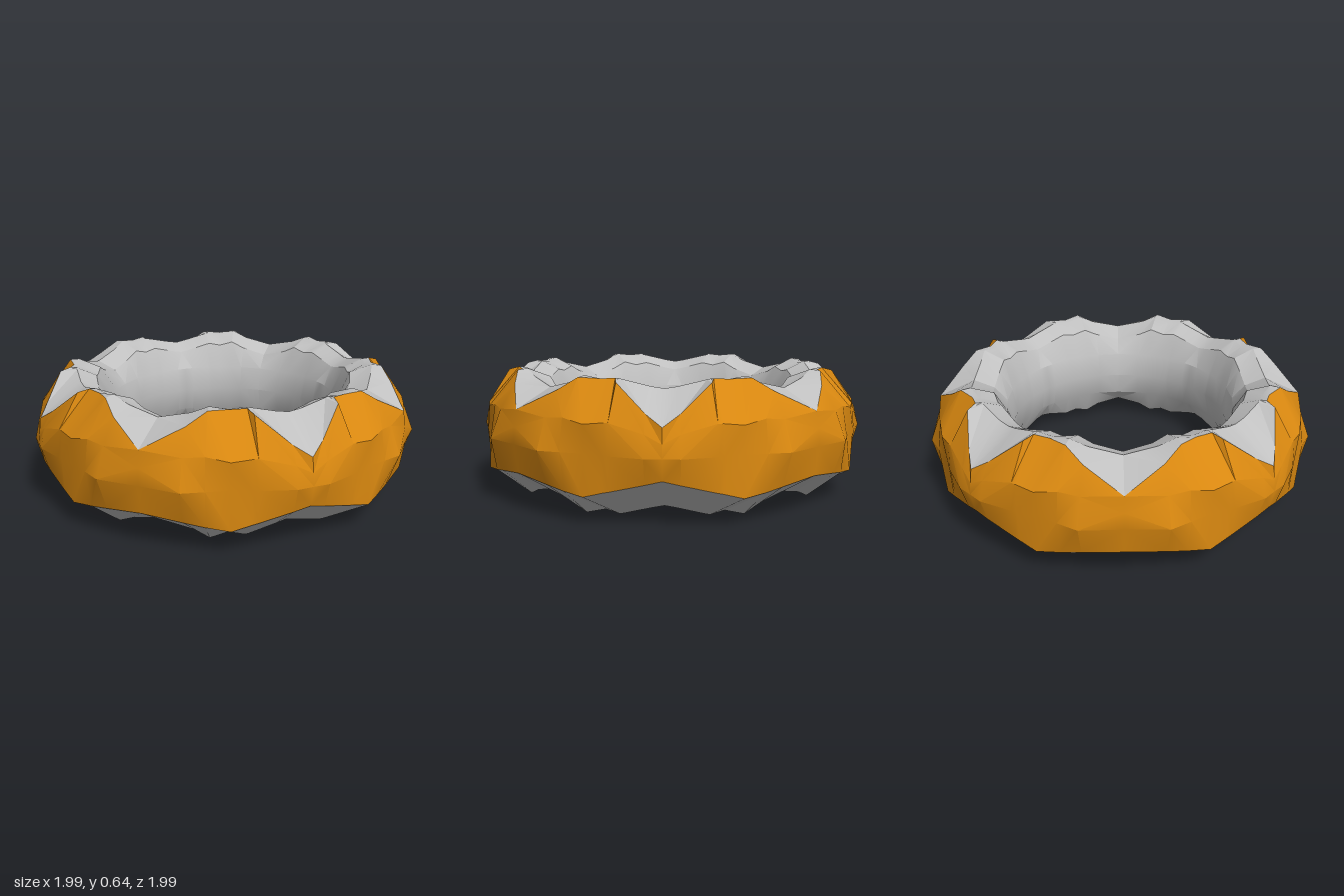
import * as THREE from 'three';
import { toCreasedNormals } from 'three/addons/utils/BufferGeometryUtils.js';

const HEIGHT = 0.64;

// Sections over an eighth turn: angle, then [radius, y] for the lower paint edge,
// waist, shoulder, upper paint edge and crest
const EIGHTH = [
  [0, [0.97, 0.18], [0.99, 0.32], [0.983, 0.40], [0.97, 0.48], [0.78, 0.57]],
  [11.5, [0.958, 0.155], [1.015, 0.32], [0.96, 0.46], [0.885, 0.575], [0.78, 0.605]],
  [17.5, [0.962, 0.14], [0.985, 0.32], [0.96, 0.47], [0.84, 0.635], [0.79, 0.64]],
  [24, [0.98, 0.13], [0.965, 0.32], [0.972, 0.45], [0.80, 0.63], [0.765, 0.62]],
  [29.5, [0.972, 0.155], [0.978, 0.32], [0.967, 0.46], [0.81, 0.636], [0.775, 0.632]],
  [31, [0.97, 0.16], [0.982, 0.32], [0.965, 0.46], [0.86, 0.622], [0.775, 0.628]],
  [40.5, [0.976, 0.20], [1.01, 0.32], [0.985, 0.42], [0.94, 0.50], [0.765, 0.598]],
  [45, [0.985, 0.22], [1.005, 0.32], [0.997, 0.38], [0.985, 0.45], [0.76, 0.588]],
];

// Closes a section through the hole and along the underside
function fullSection([angle, edge, waist, shoulder, top, crest]) {
  const [r, y] = crest;
  const inner = [[0.675, y - 0.045], [0.61, 0.45], [0.585, 0.32]];
  const under = [[0.61, 0.19], [0.675, HEIGHT - y + 0.045], [r, HEIGHT - y]];
  return { angle, points: [edge, waist, shoulder, top, crest, ...inner, ...under, edge] };
}

// Mirrors the eighth into a quarter, then repeats it around the ring
function ringColumns() {
  const columns = [];
  const half = EIGHTH.map(fullSection);
  for (let q = 0; q < 4; q++) {
    half.forEach((s) => columns.push({ angle: q * 90 + s.angle, points: s.points, flip: s.angle === 45 }));
    for (let i = half.length - 2; i > 0; i--) {
      columns.push({ angle: q * 90 + 90 - half[i].angle, points: half[i].points, flip: true });
    }
  }
  return columns;
}

// Skins the rows from one index to another all the way round
function skin(columns, from, to) {
  const positions = [];
  const corner = (i, j) => {
    const c = columns[i % columns.length];
    const a = THREE.MathUtils.degToRad(c.angle);
    const [r, y] = c.points[j];
    return [r * Math.sin(a), y, r * Math.cos(a)];
  };
  for (let i = 0; i < columns.length; i++) {
    for (let j = from; j < to; j++) {
      const a = corner(i, j), b = corner(i + 1, j);
      const c = corner(i + 1, j + 1), d = corner(i, j + 1);
      const tris = columns[i].flip ? [a, b, c, a, c, d] : [a, b, d, b, c, d];
      positions.push(...tris.flat());
    }
  }
  const geometry = new THREE.BufferGeometry();
  geometry.setAttribute('position', new THREE.Float32BufferAttribute(positions, 3));
  return toCreasedNormals(geometry, THREE.MathUtils.degToRad(24));
}

export function createModel() {
  const orange = new THREE.MeshStandardMaterial({ color: 0xd98810 });
  orange.name = 'orange';
  const silver = new THREE.MeshStandardMaterial({ color: 0xc0c0c0 });
  silver.name = 'silver';

  const columns = ringColumns();
  const group = new THREE.Group();
  group.name = 'facetedRing';

  // Outer orange band, with a zigzag upper edge
  const band = new THREE.Mesh(skin(columns, 0, 3), orange);
  band.name = 'outerBand';

  // Silver top facets, hole and underside
  const body = new THREE.Mesh(skin(columns, 3, 11), silver);
  body.name = 'innerBody';

  group.add(band, body);
  return group;
}
